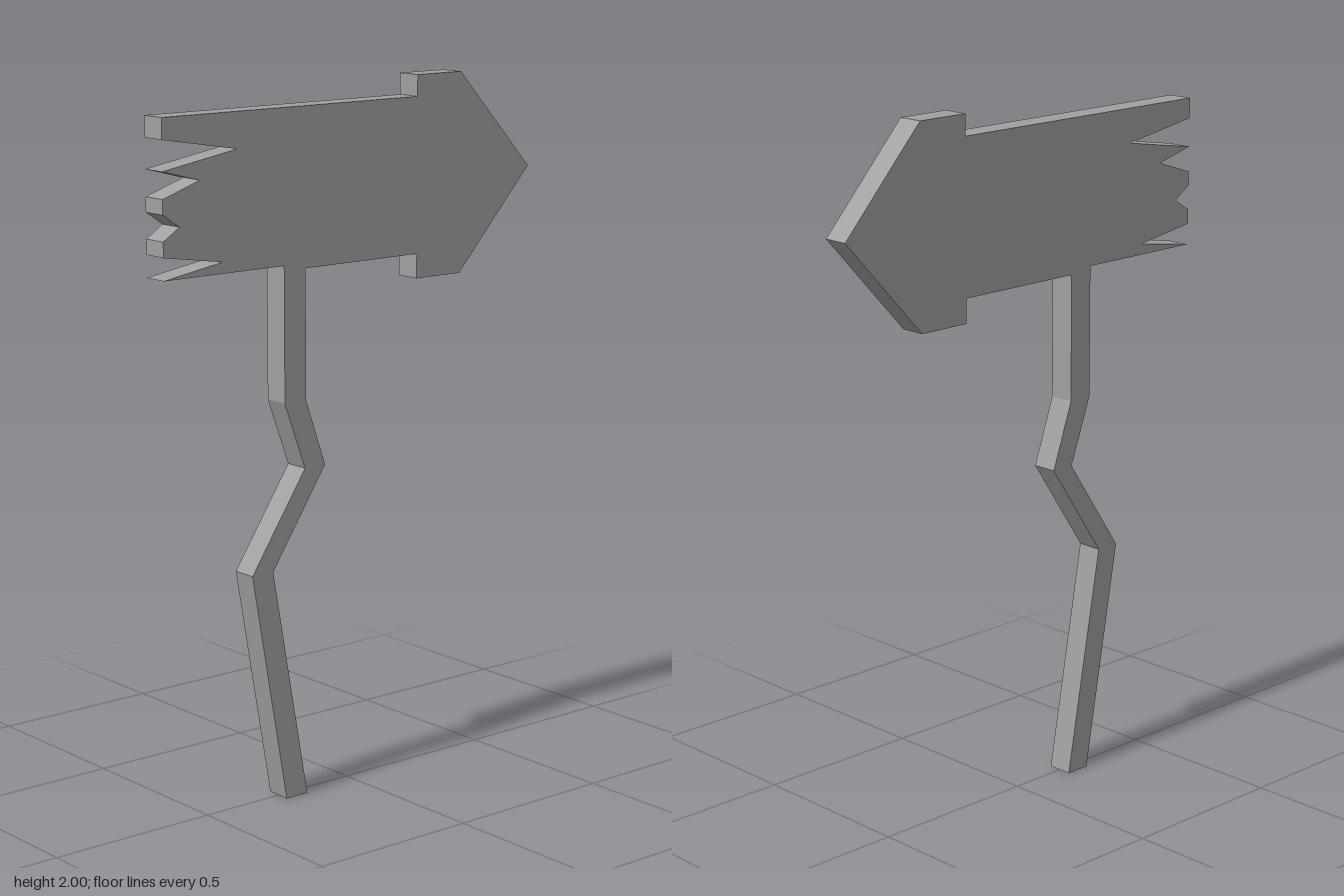
import * as THREE from 'three';

const THICKNESS = 0.075;

// Flat outline extruded evenly about z = 0
function slab(name, outline, material) {
  const shape = new THREE.Shape(outline.map(([x, y]) => new THREE.Vector2(x, y)));
  const geometry = new THREE.ExtrudeGeometry(shape, { depth: THICKNESS, bevelEnabled: false });
  geometry.translate(0, 0, -THICKNESS / 2);
  const mesh = new THREE.Mesh(geometry, material);
  mesh.name = name;
  return mesh;
}

export function createModel() {
  const group = new THREE.Group();
  group.name = 'arrowSignpost';
  const grey = new THREE.MeshStandardMaterial({ color: 0xa0a0a0 });
  grey.name = 'weathered grey';

  // Where the board meets the post
  const joinLeft = [-0.249, 1.514];
  const joinRight = [-0.175, 1.5];

  // Arrow head, then the splintered end from top to bottom
  const arrowHead = [
    [0.226, 1.5], [0.226, 1.43], [0.387, 1.43], [0.65, 1.716],
    [0.387, 2], [0.226, 2], [0.226, 1.94],
  ];
  const splinters = [
    [-0.65, 1.94], [-0.65, 1.882], [-0.405, 1.841], [-0.65, 1.8],
    [-0.53, 1.768], [-0.65, 1.728], [-0.65, 1.687], [-0.597, 1.651],
    [-0.65, 1.617], [-0.65, 1.575], [-0.458, 1.545], [-0.65, 1.514],
  ];
  group.add(slab('arrowBoard', [joinLeft, joinRight, ...arrowHead, ...splinters], grey));

  // Crooked post: right edge going up, left edge coming down
  const postRight = [[-0.175, 0], [-0.293, 0.667], [-0.108, 0.944], [-0.175, 1.135]];
  const postLeft = [[-0.249, 1.135], [-0.179, 0.944], [-0.365, 0.667], [-0.249, 0]];
  group.add(slab('crookedPost', [...postRight, joinRight, joinLeft, ...postLeft], grey));

  return group;
}
